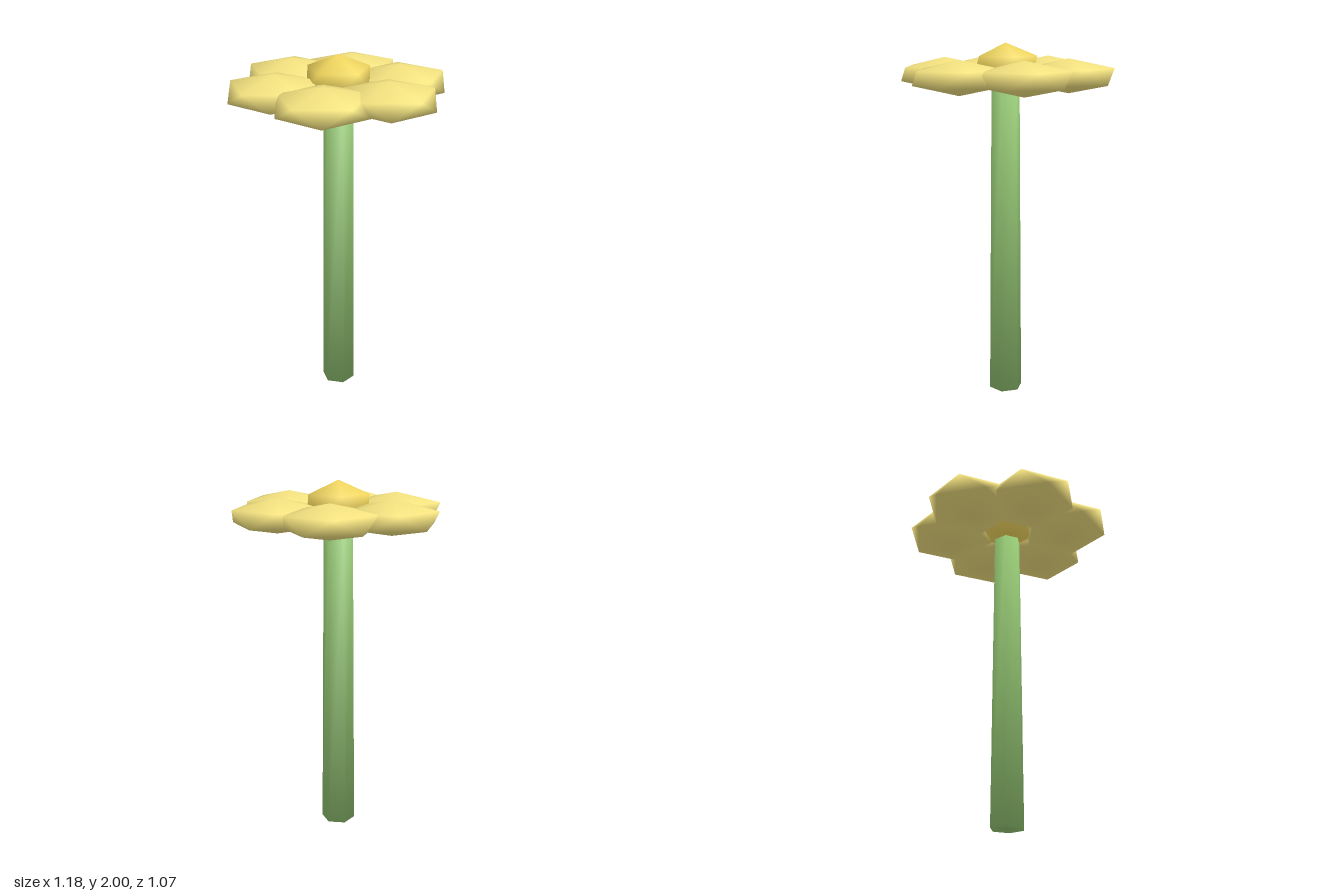
import * as THREE from 'three';
import { mergeVertices } from 'three/addons/utils/BufferGeometryUtils.js';

// Smooth-shaded icosahedron standing on a corner, with an upper-ring corner at +x
function blob(radius, halfHeight) {
  const g = new THREE.IcosahedronGeometry(1, 0);
  g.rotateZ(-Math.atan2(2, 1 + Math.sqrt(5)));
  g.scale(radius, halfHeight, radius);
  g.deleteAttribute('normal');
  g.deleteAttribute('uv');
  const smooth = mergeVertices(g, 1e-4);
  smooth.computeVertexNormals();
  return smooth;
}

// Tapered six-sided stem whose corner normals blend softly into the end caps
function stemGeometry(topRadius, bottomRadius, height) {
  const g = new THREE.CylinderGeometry(topRadius, bottomRadius, height, 6);
  const p = g.attributes.position;
  const n = new THREE.Vector3();
  for (let i = 0; i < p.count; i++) {
    n.set(p.getX(i), 0, p.getZ(i));
    if (n.length() > 1e-4) n.normalize();
    n.y = 0.77 * Math.sign(p.getY(i));
    n.normalize();
    g.attributes.normal.setXYZ(i, n.x, n.y, n.z);
  }
  return g.translate(0, height / 2, 0);
}

export function createModel() {
  const flower = new THREE.Group();
  flower.name = 'flower';
  const add = (name, geometry, color, x, y, z) => {
    const mesh = new THREE.Mesh(geometry, new THREE.MeshStandardMaterial({ color }));
    mesh.name = name;
    mesh.position.set(x, y, z);
    flower.add(mesh);
  };

  add('stem', stemGeometry(0.08, 0.096, 1.75), 0x93c572, 0, 0, 0);
  add('flowerCentre', blob(0.193, 0.127), 0xf4d95f, 0, 1.873, 0);

  // Six petals around the centre, all turned the same way
  const petal = blob(0.274, 0.0925);
  for (let i = 0; i < 6; i++) {
    const a = (i * Math.PI) / 3;
    add(`petal${i + 1}`, petal, 0xf5e380, 0.347 * Math.cos(a), 1.828, 0.301 / Math.sin(Math.PI / 3) * Math.sin(a));
  }
  return flower;
}
